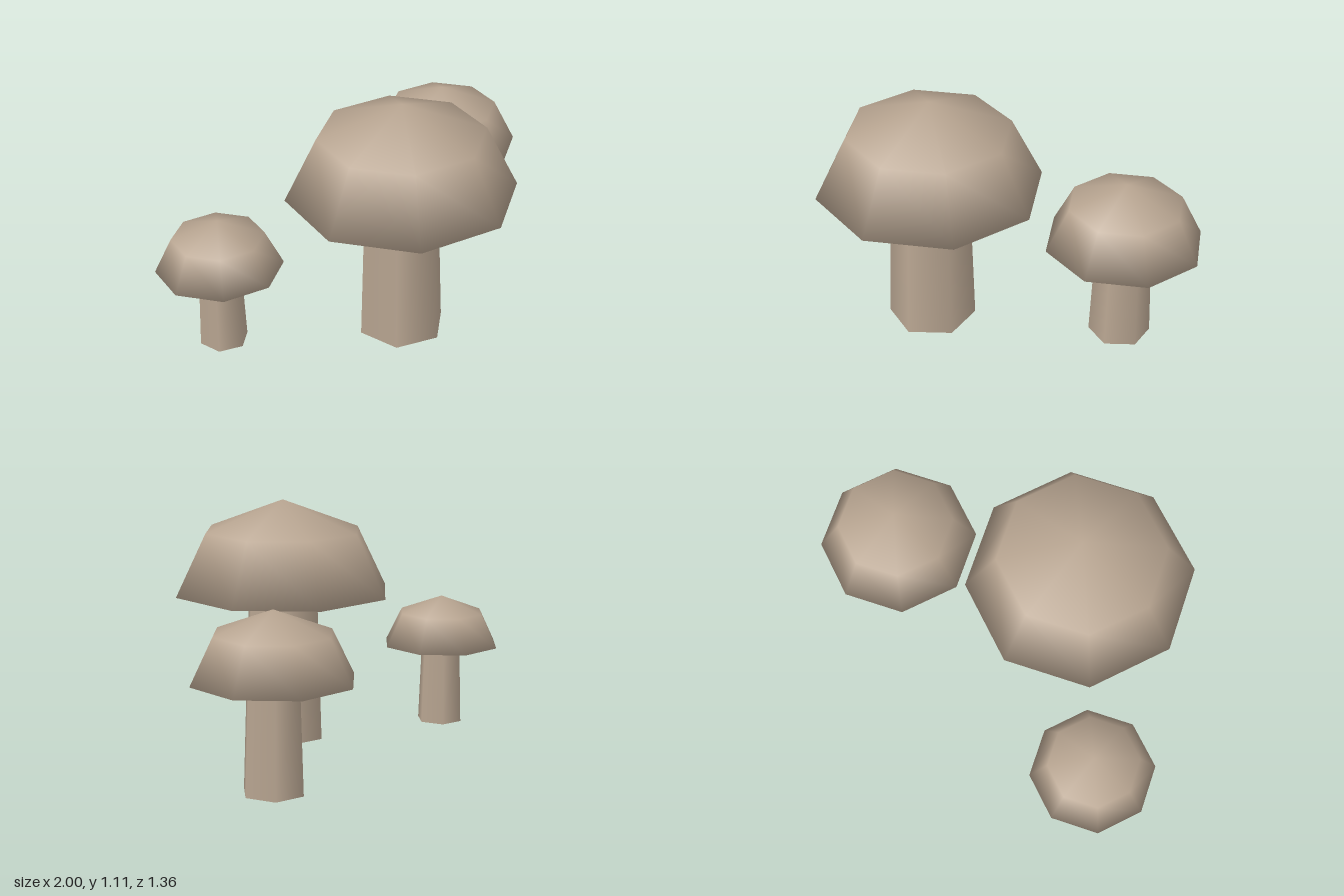
import * as THREE from 'three';

const SIDES = 8;
const RIM_Y = 0.685;

const tan = new THREE.MeshStandardMaterial({ color: 0xb8a591, side: THREE.DoubleSide });
tan.name = 'mushroomTan';

// Eight-sided cap: apex, shoulder ring and rim ring, closed flat underneath.
// Normals are shared across the rim so the shading stays soft.
function capGeometry() {
  const positions = [0, 1.108, 0];
  const normals = [0, 1, 0];
  const rings = [
    { r: 0.368, y: 0.968, n: [0.66, 0.75] },
    { r: 0.509, y: RIM_Y, n: [0.85, -0.53] },
  ];
  for (const { r, y, n } of rings) {
    for (let i = 0; i < SIDES; i++) {
      const a = (i / SIDES) * Math.PI * 2;
      const s = Math.sin(a), c = Math.cos(a);
      positions.push(r * s, y, r * c);
      normals.push(n[0] * s, n[1], n[0] * c);
    }
  }
  const index = [];
  const mid = (i) => 1 + (i % SIDES);
  const rim = (i) => 1 + SIDES + (i % SIDES);
  for (let i = 0; i < SIDES; i++) {
    index.push(0, mid(i), mid(i + 1)); // top
    index.push(mid(i), rim(i), rim(i + 1), mid(i), rim(i + 1), mid(i + 1)); // wall
    if (i > 0 && i < SIDES - 1) index.push(rim(0), rim(i + 1), rim(i)); // underside
  }
  const g = new THREE.BufferGeometry();
  g.setAttribute('position', new THREE.Float32BufferAttribute(positions, 3));
  g.setAttribute('normal', new THREE.Float32BufferAttribute(normals, 3));
  g.setIndex(index);
  g.normalizeNormals();
  return g;
}

// Six-sided tapered stem, hollow at the foot.
function stemGeometry() {
  return new THREE.CylinderGeometry(0.174, 0.198, RIM_Y, 6, 1, true).translate(0, RIM_Y / 2, 0);
}

export function createModel() {
  const model = new THREE.Group();
  model.name = 'mushrooms';
  const cap = capGeometry();
  const stem = stemGeometry();

  const placements = [
    { name: 'largeMushroom', x: -0.154, z: 0.168, scale: 1 },
    { name: 'mediumMushroom', x: 0.641, z: -0.174, scale: 0.7 },
    { name: 'smallMushroom', x: -0.72, z: -0.4, scale: 0.55 },
  ];
  for (const { name, x, z, scale } of placements) {
    const mushroom = new THREE.Group();
    mushroom.name = name;
    const capMesh = new THREE.Mesh(cap, tan);
    capMesh.name = 'cap';
    const stemMesh = new THREE.Mesh(stem, tan);
    stemMesh.name = 'stem';
    mushroom.add(capMesh, stemMesh);
    mushroom.position.set(x, 0, z);
    mushroom.scale.setScalar(scale);
    model.add(mushroom);
  }
  return model;
}
